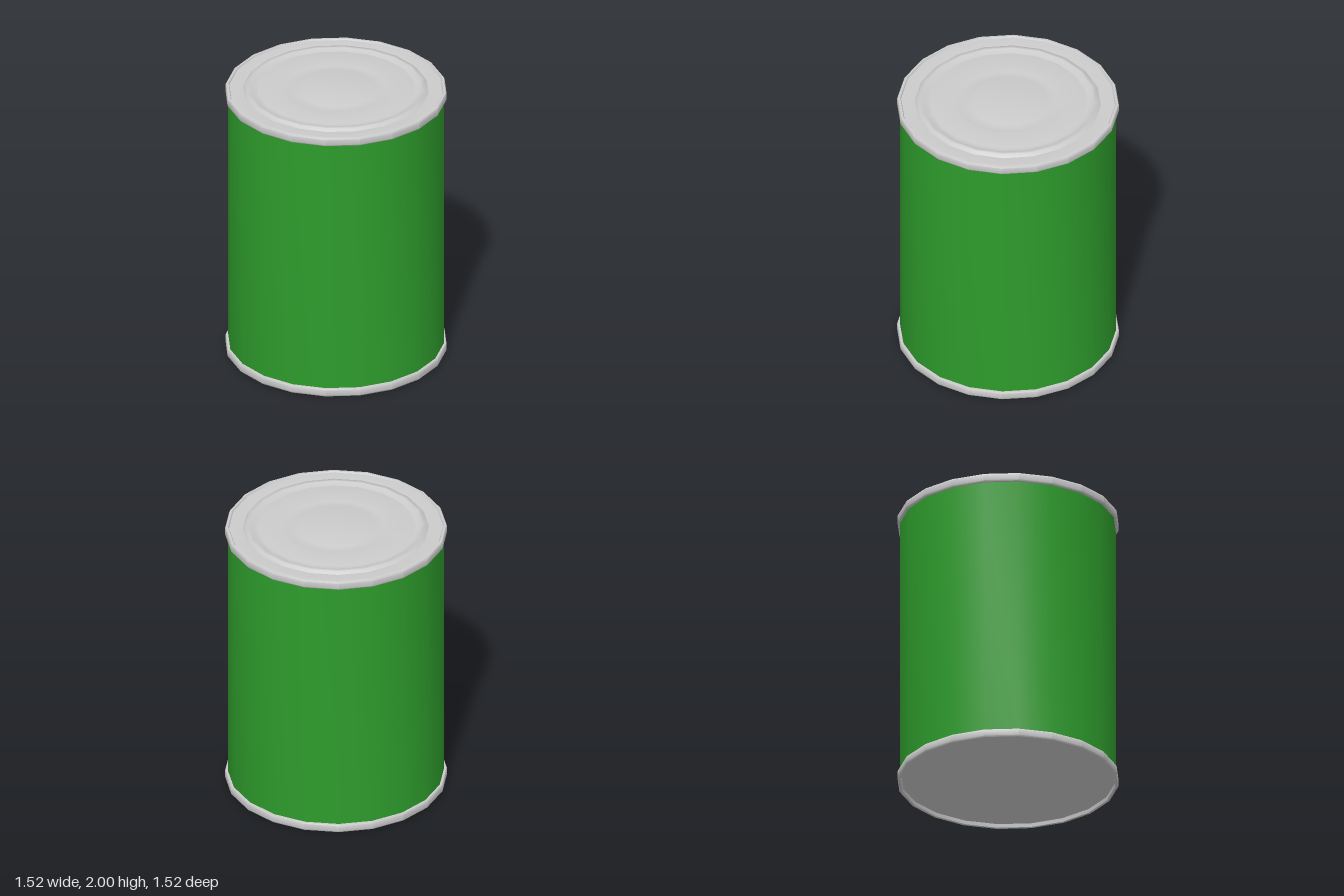
import * as THREE from 'three';
import { mergeVertices, toCreasedNormals } from 'three/addons/utils/BufferGeometryUtils.js';

const SIDES = 20;

// Turns a [radius, height] profile, listed so that its outside faces outward
function turned(profile) {
  return new THREE.LatheGeometry(profile.map(([r, y]) => new THREE.Vector2(r, y)), SIDES);
}

// Keeps the sharp edges of a turned profile
function creased(profile) {
  return toCreasedNormals(turned(profile), 0.6);
}

// Blends the shading over the whole surface, so small steps stay soft
function softened(profile) {
  const geometry = turned(profile);
  geometry.deleteAttribute('uv');
  geometry.deleteAttribute('normal');
  const merged = mergeVertices(geometry);
  merged.computeVertexNormals();
  return merged;
}

export function createModel() {
  const can = new THREE.Group();
  can.name = 'tinCan';

  function add(name, geometry, color = 0xcccccc) {
    const mesh = new THREE.Mesh(geometry, new THREE.MeshStandardMaterial({ color }));
    mesh.name = name;
    can.add(mesh);
  }

  // Coloured wall between the two rims
  add('wall', creased([[0.74, 0.05], [0.74, 1.94]]), 0x2e9c2c);

  // Base sunk inside its rim
  add('base', creased([
    [0, 0.03], [0.733, 0.03], [0.736, 0.004], [0.742, 0], [0.754, 0.003], [0.76, 0.012],
    [0.76, 0.052], [0.755, 0.06], [0.74, 0.06],
  ]));

  // Upper seam rim
  add('topRim', creased([
    [0.74, 1.93], [0.755, 1.93], [0.76, 1.938], [0.76, 1.978],
    [0.754, 1.988], [0.738, 1.99], [0.732, 1.98],
  ]));

  // Lid with pressed rings: raised bead, groove, flat ring, groove and centre disc
  add('lid', softened([
    [0.732, 1.98], [0.64, 1.98], [0.632, 1.97], [0.62, 1.997], [0.59, 1.997],
    [0.55, 1.972], [0.54, 1.99], [0.36, 1.99], [0.35, 1.98],
    [0.26, 1.98], [0.25, 2], [0, 2],
  ]));

  return can;
}
